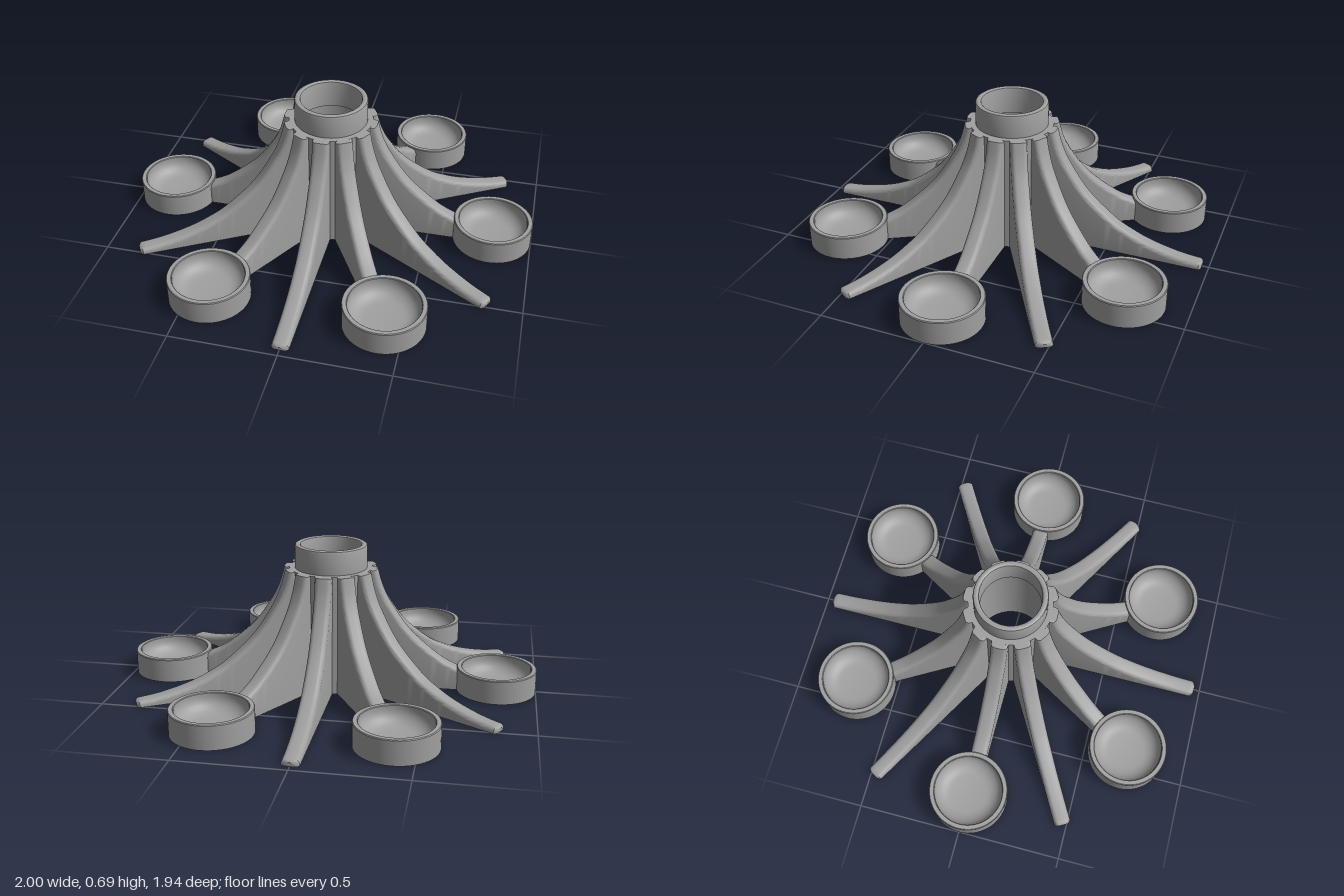
import * as THREE from 'three';
import { toCreasedNormals } from 'three/addons/utils/BufferGeometryUtils.js';

const grey = new THREE.MeshStandardMaterial({ color: 0xa0a0a0 });
grey.name = 'grey';

function mesh(geometry, name) {
  const m = new THREE.Mesh(toCreasedNormals(geometry, 0.6), grey);
  m.name = name;
  return m;
}

function lathe(points, segments) {
  return new THREE.LatheGeometry(points.map(([r, y]) => new THREE.Vector2(r, y)), segments);
}

// Concave sweep of a rib's top edge: radius, height
const sweep = new THREE.SplineCurve([
  [0.225, 0.58], [0.25, 0.495], [0.295, 0.405], [0.39, 0.275], [0.525, 0.16],
  [0.62, 0.108], [0.72, 0.07], [0.85, 0.04], [0.97, 0.027],
].map(([r, y]) => new THREE.Vector2(r, y)));

// Upright fin with rounded upper edges, cut off at the given radius
function ribGeometry(end, roundTip) {
  const halfWidth = 0.04, fillet = 0.022, steps = 4;
  const stations = [{ r: 0.19, y: 0.58, nx: 0, ny: 0, w: halfWidth }];
  for (let i = 0; i <= 48; i++) {
    const p = sweep.getPoint(i / 48), t = sweep.getTangent(i / 48);
    if (p.x > end) break;
    stations.push({ r: p.x, y: p.y, nx: -t.y, ny: t.x, w: halfWidth });
  }
  const last = stations[stations.length - 1];
  if (roundTip) {
    last.w = 0.024;
    last.y -= 0.008;
    stations.splice(-1, 0, { ...last, r: last.r - 0.006, w: 0.035, y: last.y + 0.006 },);
  }
  const pos = [], index = [];
  for (const s of stations) {
    const ring = [];
    for (let k = 0; k <= steps; k++) {
      const a = (k / steps) * Math.PI / 2;
      const drop = fillet * (1 - Math.sin(a));
      const r = Math.max(0.19, s.r - s.nx * drop);
      ring.push([r, Math.max(0.003, s.y - s.ny * drop), s.w - fillet * (1 - Math.cos(a))]);
    }
    const foot = [ring[0][0], 0, s.w];
    const half = [foot, ...ring];
    half.forEach(([x, y, z]) => pos.push(x, y, -z));
    half.reverse().forEach(([x, y, z]) => pos.push(x, y, z));
  }
  const n = 2 * (steps + 2);
  for (let i = 0; i < stations.length - 1; i++) {
    for (let k = 0; k < n; k++) {
      const a = i * n + k, c = i * n + (k + 1) % n;
      index.push(a, c, a + n, c, c + n, a + n);
    }
  }
  const e = (stations.length - 1) * n;
  for (let k = 1; k < n - 1; k++) {
    index.push(e, e + k, e + k + 1); // outer end
    index.push(0, k + 1, k);         // inner end
  }
  const g = new THREE.BufferGeometry();
  g.setAttribute('position', new THREE.Float32BufferAttribute(pos, 3));
  g.setIndex(index);
  return g;
}

export function createModel() {
  const model = new THREE.Group();
  model.name = 'radialStand';

  // Hollow hub: wide socket below, narrower neck above
  model.add(mesh(lathe([
    [0.182, 0], [0.2, 0], [0.2, 0.58], [0.174, 0.58], [0.174, 0.683],
    [0.171, 0.691], [0.163, 0.695], [0.153, 0.695], [0.147, 0.691], [0.145, 0.685],
    [0.145, 0.56], [0.182, 0.56], [0.182, 0],
  ], 72), 'hub'));

  // Shallow cup with a rounded bowl
  const cupProfile = [[0, 0], [0.19, 0], [0.19, 0.112], [0.187, 0.116], [0.168, 0.116], [0.165, 0.113]];
  for (let i = 0; i <= 8; i++) {
    const a = (i / 8) * Math.PI / 2;
    cupProfile.push([0.085 + 0.08 * Math.cos(a), 0.1 - 0.07 * Math.sin(a)]);
  }
  cupProfile.push([0, 0.024]);
  const cupGeometry = lathe(cupProfile, 56);

  const shortRib = ribGeometry(0.64, false);
  const longRib = ribGeometry(1, true);

  // Twelve ribs, every other one carrying a cup
  for (let i = 0; i < 12; i++) {
    const arm = new THREE.Group();
    const hasCup = i % 2 === 0;
    arm.name = hasCup ? 'cupArm' : 'legArm';
    arm.add(mesh(hasCup ? shortRib : longRib, hasCup ? 'shortRib' : 'longRib'));
    if (hasCup) {
      const cup = mesh(cupGeometry, 'cup');
      cup.position.x = 0.81;
      arm.add(cup);
    }
    arm.rotation.y = i * Math.PI / 6;
    model.add(arm);
  }
  return model;
}
